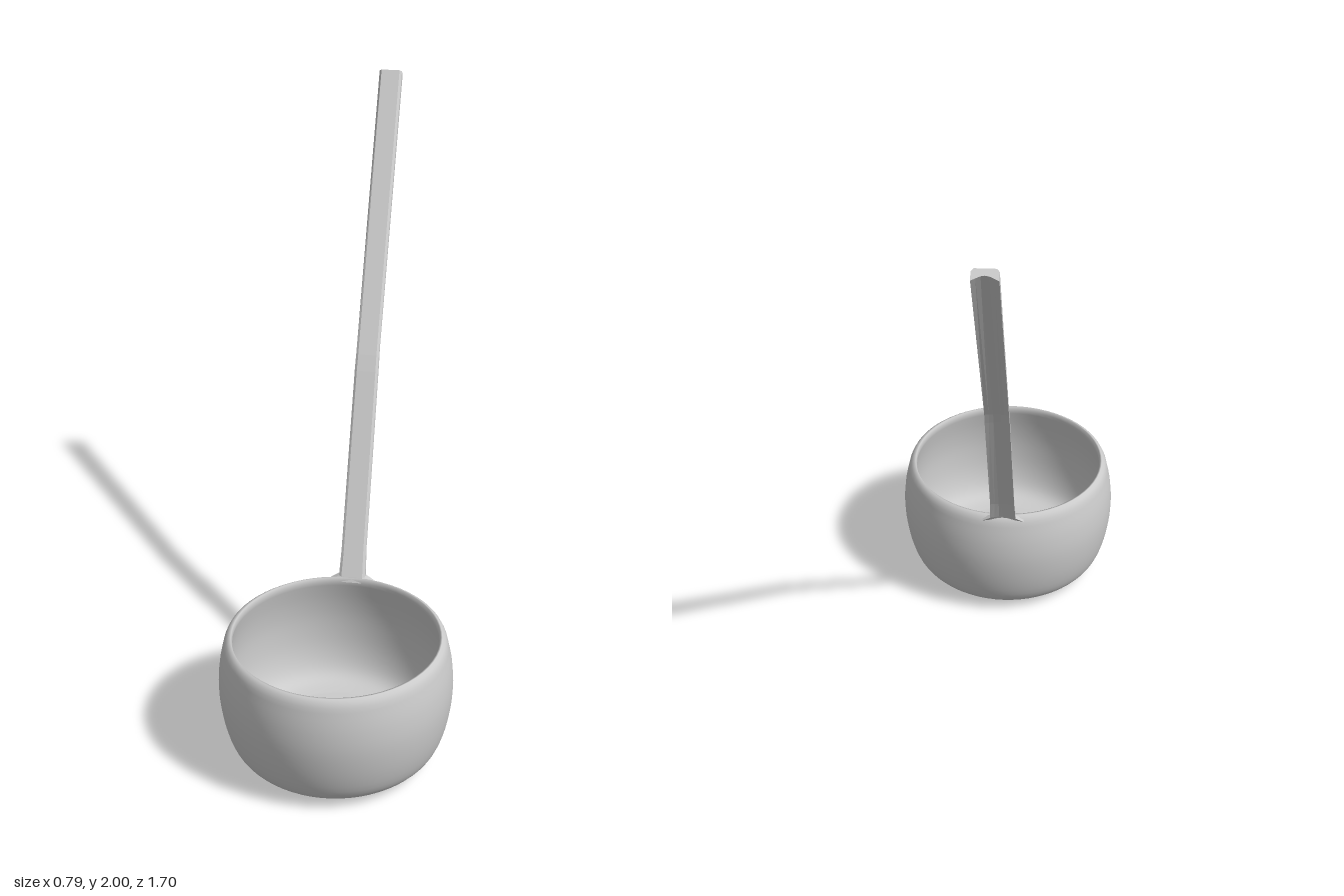
import * as THREE from 'three';

const CENTER_Z = 0.455;

function material() {
  return new THREE.MeshStandardMaterial({ color: 0xcccccc, side: THREE.DoubleSide });
}

// Thin-walled bowl: outer wall from the base up, over the rim, down the inside
function createBowl() {
  const outer = new THREE.SplineCurve([
    [0.24, 0.008], [0.28, 0.01], [0.325, 0.03], [0.36, 0.075], [0.384, 0.16],
    [0.395, 0.26], [0.39, 0.35], [0.374, 0.43],
  ].map(p => new THREE.Vector2(...p))).getPoints(24);
  const inner = new THREE.SplineCurve([
    [0.345, 0.44], [0.363, 0.35], [0.37, 0.26], [0.362, 0.16],
    [0.338, 0.085], [0.3, 0.048], [0.24, 0.036],
  ].map(p => new THREE.Vector2(...p))).getPoints(24);
  const at = (x, y) => new THREE.Vector2(x, y);
  const profile = [
    at(0, 0), at(0.12, 0.001), at(0.14, 0.007), ...outer,
    at(0.366, 0.447), at(0.355, 0.455), at(0.349, 0.455), ...inner, at(0, 0.036),
  ];
  const bowl = new THREE.Mesh(new THREE.LatheGeometry(profile, 64), material());
  bowl.name = 'bowl';
  bowl.position.z = CENTER_Z;
  return bowl;
}

// Bent handle: flat front, hollowed back, lofted through a few stations
function createHandle() {
  // front z, front y, back z, back y, half width
  const stations = [
    [0.112, 0.44, 0.082, 0.44, 0.075],
    [0.104, 0.457, 0.077, 0.457, 0.046],
    [0.06, 0.54, 0.034, 0.551, 0.043],
    [-0.235, 1.095, -0.27, 1.11, 0.041],
    [-0.265, 1.145, -0.3, 1.163, 0.04],
    [-0.825, 2.0, -0.854, 1.977, 0.04],
  ];
  // across the width, and depth from front (0) to back (1)
  const section = [
    [-0.8, 0], [0.8, 0], [1, 0.25], [1, 1], [0.65, 0.8],
    [0.3, 0.63], [0, 0.57], [-0.3, 0.63], [-0.65, 0.8], [-1, 1], [-1, 0.25],
  ];
  const rings = stations.map(([fz, fy, bz, by, w]) => section.map(([u, d]) =>
    [u * w, fy + (by - fy) * d, fz + (bz - fz) * d]));
  const n = section.length;
  const positions = [];
  const tri = (a, b, c) => positions.push(...a, ...b, ...c);
  for (let i = 0; i < rings.length - 1; i++) {
    for (let j = 0; j < n; j++) {
      const k = (j + 1) % n;
      tri(rings[i][j], rings[i][k], rings[i + 1][k]);
      tri(rings[i][j], rings[i + 1][k], rings[i + 1][j]);
    }
  }
  // End caps follow the hollow section
  const outline = section.map(([u, d]) => new THREE.Vector2(u, -d));
  const faces = THREE.ShapeUtils.triangulateShape(outline, []);
  const top = rings[rings.length - 1];
  for (const [a, b, c] of faces) {
    tri(top[a], top[c], top[b]);
    tri(rings[0][a], rings[0][b], rings[0][c]);
  }
  const geometry = new THREE.BufferGeometry();
  geometry.setAttribute('position', new THREE.Float32BufferAttribute(positions, 3));
  geometry.computeVertexNormals();
  const handle = new THREE.Mesh(geometry, material());
  handle.name = 'handle';
  return handle;
}

export function createModel() {
  const model = new THREE.Group();
  model.name = 'ladle';
  model.add(createBowl(), createHandle());
  return model;
}
